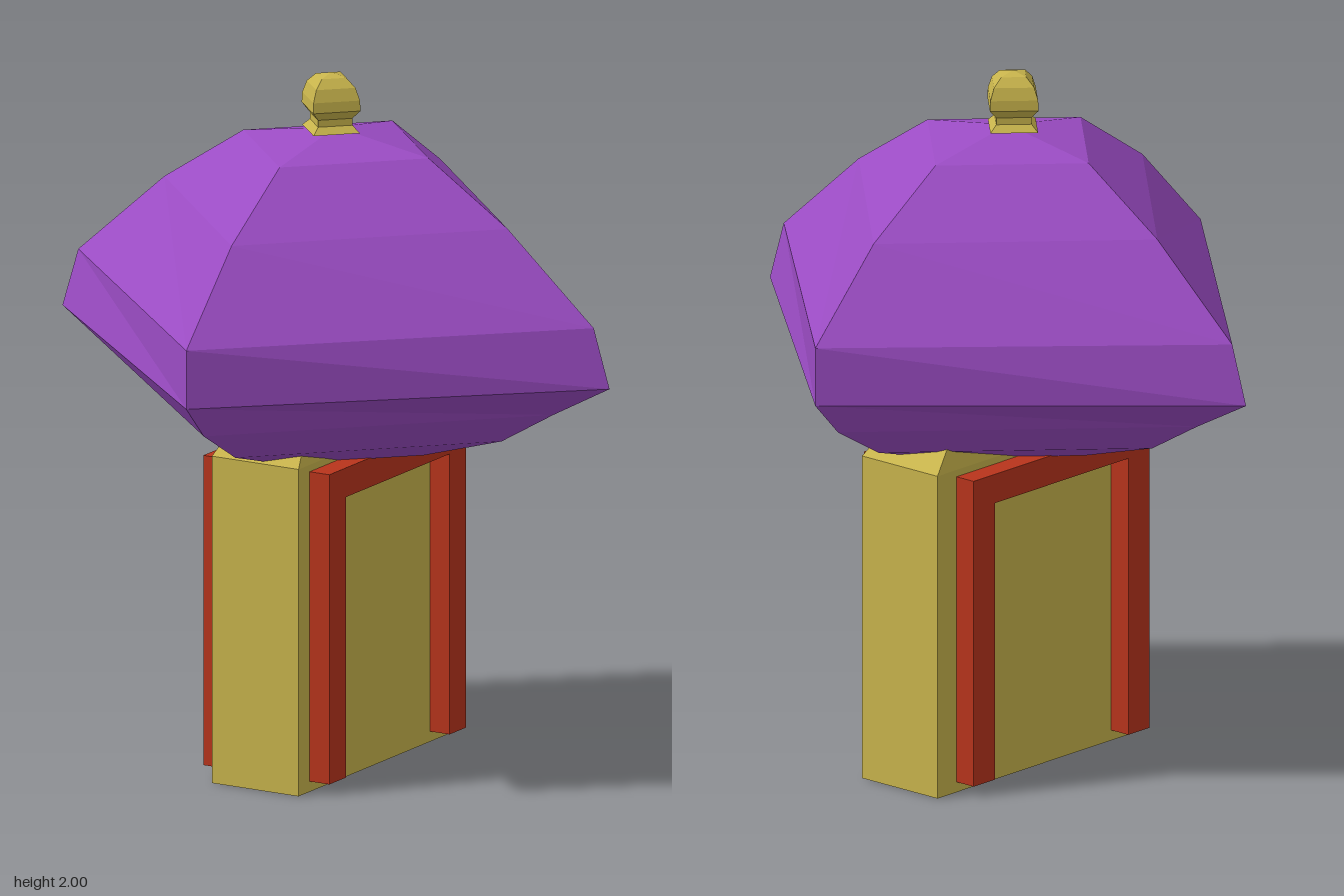
import * as THREE from 'three';

const flat = (color) => new THREE.MeshStandardMaterial({ color, flatShading: true });
const purple = flat(0x9b4cc4), gold = flat(0xc8b44c), red = flat(0xb8341c);

function add(parent, name, geometry, material, x = 0, y = 0, z = 0) {
  const mesh = new THREE.Mesh(geometry, material);
  mesh.name = name;
  mesh.position.set(x, y, z);
  parent.add(mesh);
  return mesh;
}

// Four-sided turned shape with its corners on the x and z axes; points run bottom to top
function diamondLathe(points) {
  return new THREE.LatheGeometry(points.map(([r, y]) => new THREE.Vector2(r, y)), 4);
}

// Doorway-shaped trim: two legs and a top bar, lying against one side of the post
function makeFrame(name, x) {
  const frame = new THREE.Group();
  frame.name = name;
  const shape = new THREE.Shape([
    [-0.34, 0.03], [-0.25, 0.03], [-0.25, 0.845], [0.31, 0.845],
    [0.31, 0.03], [0.4, 0.03], [0.4, 0.93], [-0.34, 0.93],
  ].map(([u, v]) => new THREE.Vector2(u, v)));
  const geometry = new THREE.ExtrudeGeometry(shape, { depth: 0.075, bevelEnabled: false });
  geometry.rotateY(Math.PI / 2); // shape's u axis becomes -z, depth becomes +x
  add(frame, 'trim', geometry, red, x);
  return frame;
}

export function createModel() {
  const model = new THREE.Group();
  model.name = 'mushroomPost';

  // Post with a pyramid top that runs up inside the cap
  const post = new THREE.Group();
  post.name = 'post';
  model.add(post);
  const width = 0.285, depth = 0.88, cx = -0.0225, cz = -0.04;
  add(post, 'postBody', new THREE.BoxGeometry(width, 0.95, depth), gold, cx, 0.475, cz);
  const peak = new THREE.ConeGeometry(Math.SQRT1_2, 0.42, 4, 1, true);
  peak.rotateY(Math.PI / 4);
  peak.scale(width, 1, depth);
  add(post, 'postTop', peak, gold, cx, 1.16, cz);

  // Red trim on both sides
  model.add(makeFrame('leftFrame', 0.11), makeFrame('rightFrame', -0.23));

  // Faceted cap, a little narrower front to back at its rim
  const cap = diamondLathe([
    [0, 0.91], [0.29, 0.925], [0.545, 1.0], [0.715, 1.1], [0.9, 1.2],
    [0.848, 1.37], [0.565, 1.62], [0.305, 1.79], [0, 1.84],
  ]);
  const p = cap.attributes.position;
  for (let i = 0; i < p.count; i++) p.setZ(i, THREE.MathUtils.clamp(p.getZ(i), -0.81, 0.81));
  add(model, 'cap', cap, purple);

  // Small knob on top
  add(model, 'finial', diamondLathe([
    [0, 1.82], [0.095, 1.835], [0.07, 1.855], [0.07, 1.875], [0.097, 1.9],
    [0.095, 1.93], [0.08, 1.965], [0.05, 1.99], [0, 2.0],
  ]), gold, -0.01, 0, 0.01);

  return model;
}
